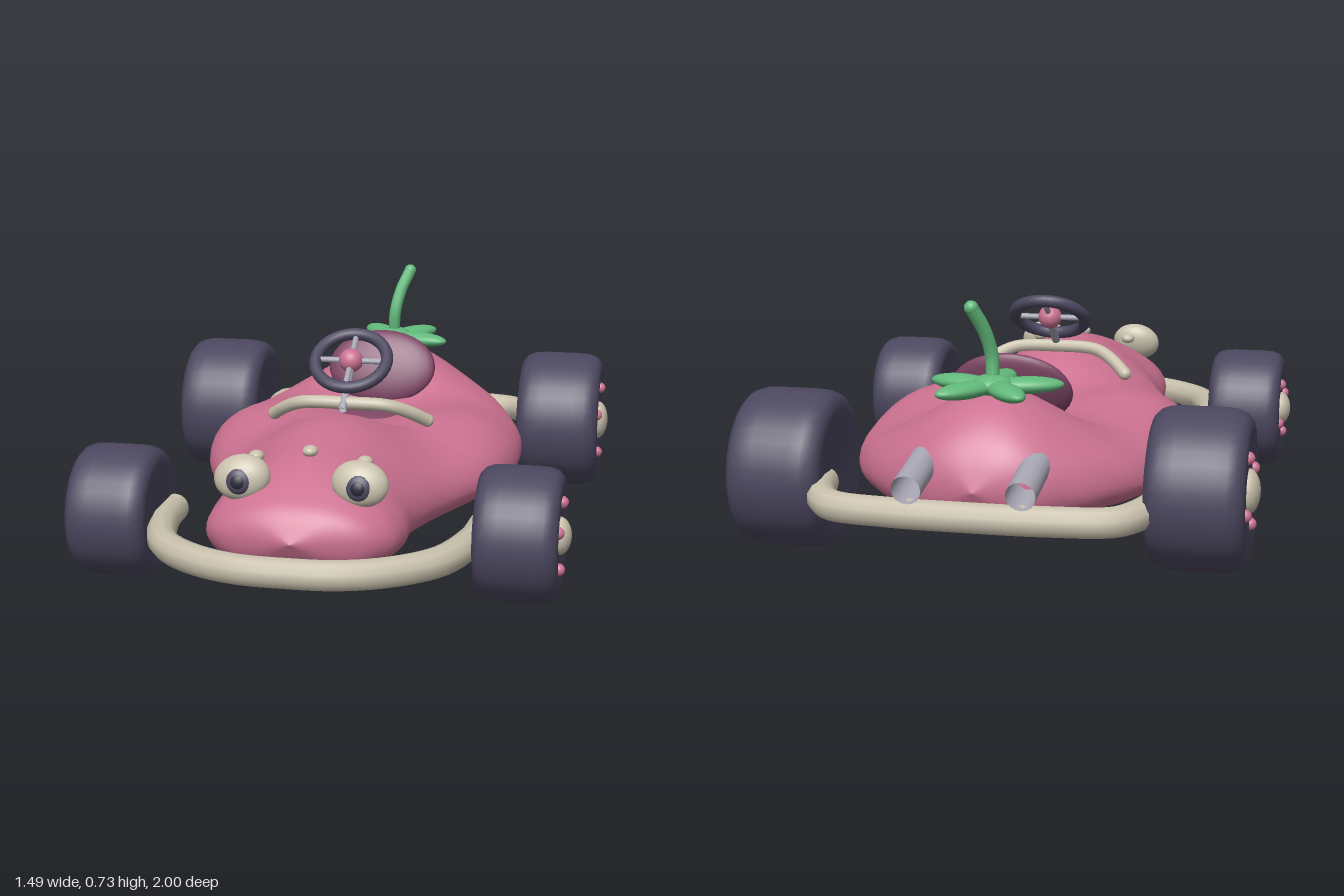
import * as THREE from 'three';

const mat = (name, color, extra = {}) => Object.assign(new THREE.MeshStandardMaterial({ color, ...extra }), { name });

export function createModel() {
  const root = new THREE.Group();
  root.name = 'vegetableKart';
  const pink = mat('pinkBody', 0xcc7291);
  const dark = mat('darkRubber', 0x4c475f);
  const cream = mat('cream', 0xc9c1ad);
  const green = mat('leafGreen', 0x62b97b);
  const grey = mat('pipeGrey', 0xa9a6b4, { side: THREE.DoubleSide });
  const plum = mat('plumSeat', 0x7c4463);
  const black = mat('pupil', 0x2a2738);

  const V = (x, y, z) => new THREE.Vector3(x, y, z);
  const add = (name, geo, material, parent = root) => {
    const m = new THREE.Mesh(geo, material);
    m.name = name;
    parent.add(m);
    return m;
  };
  const ball = (name, material, pos, half, rot = [0, 0, 0], parent = root) => {
    const m = add(name, new THREE.SphereGeometry(1, 24, 16), material, parent);
    m.position.set(...pos);
    m.scale.set(...half);
    m.rotation.set(...rot);
    return m;
  };
  // Tube with rounded ends
  const tube = (name, material, pts, r, segs = 30, sides = 10, parent = root) => {
    const v = pts.map(p => V(...p));
    add(name, new THREE.TubeGeometry(new THREE.CatmullRomCurve3(v), segs, r, sides), material, parent);
    for (const e of [pts[0], pts[pts.length - 1]]) ball(name + 'End', material, e, [r, r, r], [0, 0, 0], parent);
  };
  const mirrored = half => [...half, ...half.slice(0, -1).reverse().map(([x, y, z]) => [-x, y, z])];

  // Body: cross-sections along z of half width, bottom, waist, shoulder, centre height
  const stations = [
    [-0.9, 0, 0.25, 0.25, 0.25, 0.25],
    [-0.87, 0.13, 0.19, 0.25, 0.31, 0.33],
    [-0.8, 0.25, 0.155, 0.24, 0.35, 0.42],
    [-0.65, 0.38, 0.14, 0.23, 0.37, 0.485],
    [-0.52, 0.44, 0.135, 0.22, 0.36, 0.455],
    [-0.42, 0.47, 0.135, 0.22, 0.36, 0.36],
    [-0.3, 0.49, 0.135, 0.22, 0.375, 0.32],
    [-0.1, 0.495, 0.13, 0.22, 0.405, 0.33],
    [0.05, 0.465, 0.13, 0.22, 0.39, 0.35],
    [0.15, 0.43, 0.125, 0.22, 0.36, 0.41],
    [0.25, 0.385, 0.125, 0.22, 0.35, 0.445],
    [0.4, 0.32, 0.125, 0.22, 0.36, 0.46],
    [0.55, 0.28, 0.13, 0.22, 0.35, 0.44],
    [0.7, 0.28, 0.135, 0.22, 0.34, 0.405],
    [0.8, 0.25, 0.145, 0.23, 0.325, 0.355],
    [0.86, 0.17, 0.175, 0.24, 0.29, 0.31],
    [0.9, 0, 0.24, 0.24, 0.24, 0.24],
  ];
  const section = new THREE.CubicInterpolant(
    stations.map(s => s[0]), stations.flatMap(s => s.slice(1)), 5, new Float32Array(5));
  const rings = 80, around = 56, pos = [], idx = [];
  for (let i = 0; i <= rings; i++) {
    const z = -0.9 * Math.cos(Math.PI * i / rings);
    const [w, b, m, p, c] = section.evaluate(z);
    for (let j = 0; j < around; j++) {
      const t = 2 * Math.PI * j / around, u = Math.cos(t), a = Math.abs(u), x = Math.max(w, 0) * u;
      const y = Math.sin(t) >= 0
        ? m + (p - m) * Math.sqrt(Math.max(0, 1 - a ** 3)) + (c - p) * Math.exp(-((x / 0.21) ** 2)) * (1 - a ** 4)
        : m - (m - b) * Math.sqrt(Math.max(0, 1 - a ** 4));
      pos.push(x, y, z);
      if (i < rings) {
        const k = i * around + j, n = i * around + (j + 1) % around;
        idx.push(k, n, k + around, n, n + around, k + around);
      }
    }
  }
  const bodyGeo = new THREE.BufferGeometry();
  bodyGeo.setAttribute('position', new THREE.Float32BufferAttribute(pos, 3));
  bodyGeo.setIndex(idx);
  bodyGeo.computeVertexNormals();
  add('body', bodyGeo, pink);

  // Wheels with hub cap and four bolts; local +x points outward
  const wheel = (name, side, x, y, z, r, hw) => {
    const g = new THREE.Group();
    g.name = name;
    const half = [[0, 0.93], [0.5, 0.94], [0.75, 1], [0.87, 0.97], [0.95, 0.85], [0.99, 0.66], [1, 0.4]];
    const profile = [...half.map(([a, h]) => [a, -h]), ...half.slice().reverse()]
      .map(([a, h]) => new THREE.Vector2(a * r, h * hw));
    add('tyre', new THREE.LatheGeometry(profile, 36).rotateZ(-Math.PI / 2), dark, g);
    ball('hubCap', cream, [hw * 0.92, 0, 0], [0.035, r * 0.28, r * 0.28], [0, 0, 0], g);
    for (let k = 0; k < 4; k++) {
      const a = 0.38 + k * Math.PI / 2;
      ball('bolt', pink, [hw * 0.95, Math.cos(a) * r * 0.49, -side * Math.sin(a) * r * 0.49],
        [0.018, 0.018, 0.018], [0, 0, 0], g);
    }
    g.position.set(side * x, y, z);
    if (side < 0) g.rotation.y = Math.PI;
    root.add(g);
  };
  for (const s of [1, -1]) {
    const n = s > 0 ? 'left' : 'right';
    wheel(n + 'FrontWheel', s, 0.582, 0.205, 0.565, 0.192, 0.118);
    wheel(n + 'RearWheel', s, 0.585, 0.235, -0.66, 0.226, 0.136);
  }

  // Bumpers
  tube('frontBumper', cream, mirrored([[0.46, 0.18, 0.45], [0.445, 0.18, 0.6], [0.385, 0.18, 0.78],
    [0.27, 0.18, 0.89], [0.14, 0.18, 0.945], [0, 0.18, 0.955]]), 0.043, 48);
  tube('rearBumper', cream, mirrored([[0.48, 0.21, -0.72], [0.45, 0.205, -0.83], [0.39, 0.2, -0.915],
    [0.22, 0.2, -0.95], [0, 0.2, -0.957]]), 0.043, 48);
  // Bar over the bonnet
  tube('bonnetBar', cream, mirrored([[0.24, 0.395, 0.09], [0.19, 0.43, 0.135], [0.13, 0.455, 0.17],
    [0, 0.46, 0.18]]), 0.02, 30);

  // Exhaust pipes, open at the back
  for (const s of [1, -1]) {
    const curve = new THREE.LineCurve3(V(s * 0.155, 0.325, -0.74), V(s * 0.155, 0.275, -0.995));
    add('exhaustPipe', new THREE.TubeGeometry(curve, 1, 0.041, 16), grey);
  }

  // Eyes and brow studs
  for (const s of [1, -1]) {
    ball('eye', cream, [s * 0.165, 0.38, 0.757], [0.08, 0.064, 0.045], [-0.3, 0, s * -0.15]);
    ball('iris', dark, [s * 0.167, 0.378, 0.79], [0.037, 0.037, 0.018], [-0.2, 0, 0]);
    ball('pupil', black, [s * 0.167, 0.378, 0.8], [0.022, 0.022, 0.011], [-0.2, 0, 0]);
    ball('browStud', cream, [s * 0.155, 0.41, 0.64], [0.022, 0.016, 0.025]);
  }
  ball('browStud', cream, [0, 0.432, 0.64], [0.022, 0.016, 0.025]);

  // Steering wheel, tilted forward
  const steering = new THREE.Group();
  steering.name = 'steeringWheel';
  steering.position.set(0, 0.57, 0.08);
  steering.rotation.x = -0.95;
  root.add(steering);
  add('rim', new THREE.TorusGeometry(0.111, 0.019, 12, 32), dark, steering);
  ball('hub', pink, [0, 0, 0], [0.037, 0.037, 0.037], [0, 0, 0], steering);
  const rod = (name, a, b, r) =>
    add(name, new THREE.TubeGeometry(new THREE.LineCurve3(V(...a), V(...b)), 1, r, 10), grey, steering);
  rod('spokes', [-0.11, 0, 0], [0.11, 0, 0], 0.009);
  rod('spokes', [0, 0.11, 0], [0, -0.11, 0], 0.009);
  rod('column', [0, -0.03, -0.01], [0, -0.18, -0.025], 0.013);

  // Seat
  ball('seatBack', plum, [0, 0.44, -0.435], [0.18, 0.125, 0.037], [-0.42, 0, 0]);
  ball('seatCushion', plum, [0, 0.315, -0.28], [0.15, 0.032, 0.13]);

  // Leafy star and stem
  for (let k = 0; k < 5; k++) {
    const a = k * Math.PI * 2 / 5;
    ball('leaf', green, [Math.sin(a) * 0.095, 0.497, -0.665 + Math.cos(a) * 0.095],
      [0.04, 0.024, 0.105], [0, a, 0]);
  }
  ball('leafCentre', green, [0, 0.5, -0.665], [0.06, 0.03, 0.06]);
  tube('stem', green, [[0, 0.5, -0.665], [0.003, 0.58, -0.66], [0.018, 0.655, -0.685], [0.045, 0.722, -0.72]], 0.02, 20);

  return root;
}
